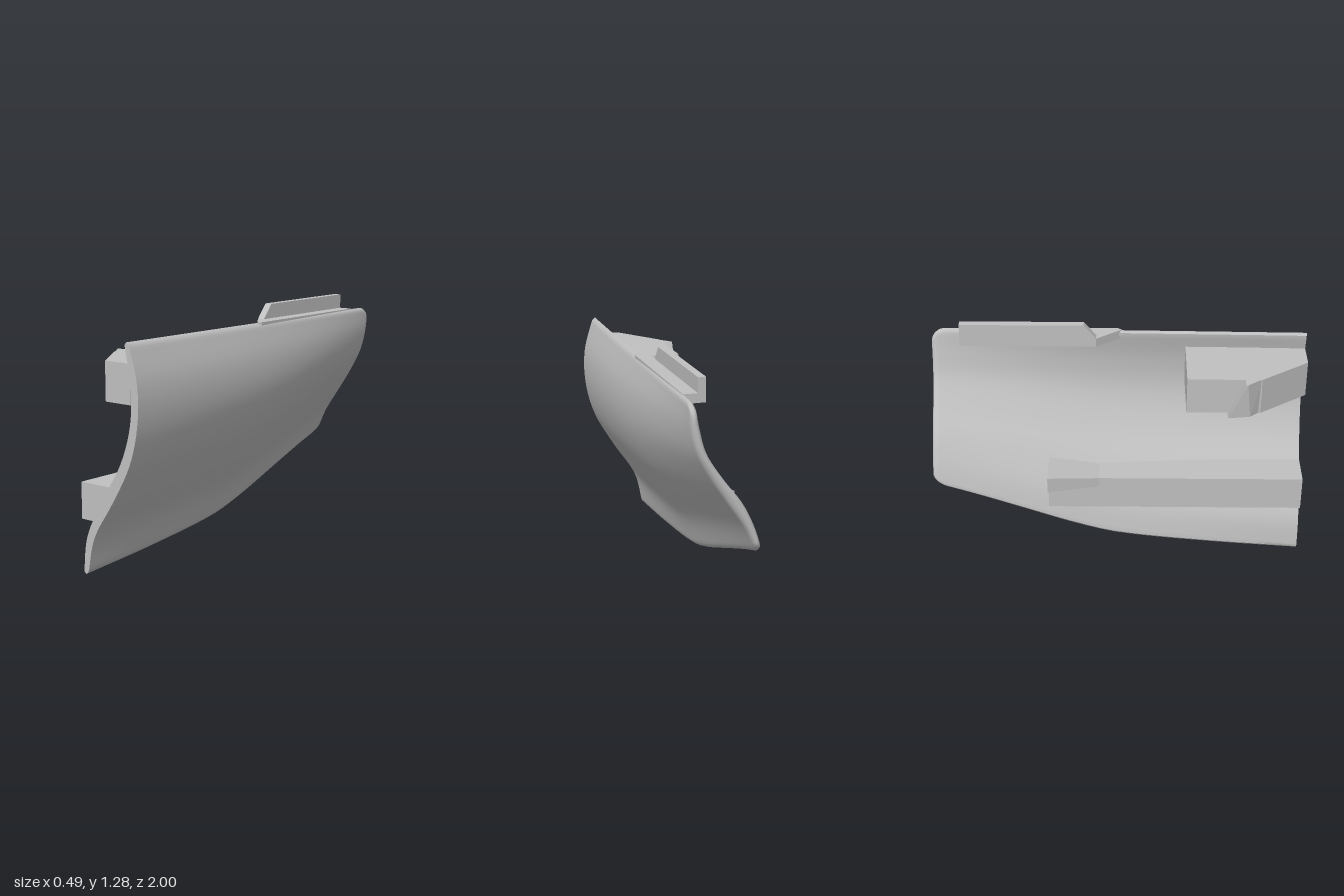
import * as THREE from 'three';
import { toCreasedNormals } from 'three/addons/utils/BufferGeometryUtils.js';
import { ConvexGeometry } from 'three/addons/geometries/ConvexGeometry.js';

const grey = new THREE.MeshStandardMaterial({ color: 0xc0c0c0 });
grey.name = 'light grey';

// Smooth interpolation through [position, value] pairs sorted by position
function curve(pairs) {
  return (p) => {
    let i = 0;
    while (i < pairs.length - 2 && p > pairs[i + 1][0]) i++;
    const at = (k) => pairs[Math.min(Math.max(k, 0), pairs.length - 1)];
    const slope = (k) => (at(k + 1)[1] - at(k - 1)[1]) / (at(k + 1)[0] - at(k - 1)[0]);
    const [p0, v0] = at(i), [p1, v1] = at(i + 1), d = p1 - p0;
    const u = THREE.MathUtils.clamp((p - p0) / d, 0, 1), u2 = u * u, u3 = u2 * u;
    return (2 * u3 - 3 * u2 + 1) * v0 + (u3 - 2 * u2 + u) * d * slope(i)
      + (3 * u2 - 2 * u3) * v1 + (u3 - u2) * d * slope(i + 1);
  };
}
const even = (values) => curve(values.map((v, i) => [i / (values.length - 1), v]));

// Panel profiles: x of the outer skin at each end, and the wall thickness, from bottom to top
const frontOuter = even([-0.135, -0.085, 0.045, 0.16, 0.215, 0.218, 0.165]);
const backOuter = even([-0.145, -0.085, 0, 0.085, 0.155, 0.19, 0.2]);
const wall = even([0.03, 0.05, 0.072, 0.06, 0.047, 0.043, 0.028]);
const lowerEdge = curve([[-1, 0.43], [-0.9, 0.4], [-0.75, 0.35], [-0.5, 0.26],
  [-0.25, 0.17], [0, 0.1], [0.5, 0.04], [1, 0]]);
const TOP = 1.2;

function skin(y, z) {
  const yb = lowerEdge(z), s = (1 - z) / 2;
  const t = THREE.MathUtils.clamp((y - yb) / (TOP - yb), 0, 1);
  const bulge = 0.038 * 4 * s * (1 - s) * Math.sin(Math.PI * Math.pow(t, 1.3));
  const outer = THREE.MathUtils.lerp(frontOuter(t), backOuter(t), s) + bulge;
  return { outer, inner: outer - wall(t) };
}

// Quarter-round easing over a distance r from an edge
const round = (d, r) => {
  const k = 1 - Math.min(Math.max(d / r, 0), 1);
  return Math.sqrt(1 - k * k);
};

function panelGeometry() {
  const rows = 40, stations = [];
  for (let i = 0; i <= 24; i++) stations.push(1 - (i / 24) * 1.88);
  for (let i = 1; i <= 10; i++) stations.push(-1 + 0.12 * (1 - Math.sin((i / 10) * Math.PI / 2)));
  const pos = [], index = [], ring = 2 * (rows + 1);
  for (const z of stations) {
    const corner = 0.08 * (1 - round(z + 1, 0.08));
    const yb = lowerEdge(z) + 0.6 * corner, yt = TOP - corner;
    const outer = [], inner = [];
    for (let k = 0; k <= rows; k++) {
      const u = k / rows;
      const v = 0.4 * u + 0.6 * (1 - Math.cos(Math.PI * u)) / 2;
      const y = yb + (yt - yb) * v, s = skin(y, z);
      const f = Math.max(0.03, round(y - yb, 0.025) * round(yt - y, 0.025) * round(z + 1, 0.03));
      const half = (s.outer - s.inner) * f / 2, mid = (s.outer + s.inner) / 2;
      outer.push([mid + half, y, z]);
      inner.unshift([mid - half, y, z]);
    }
    pos.push(...outer.flat(), ...inner.flat());
  }
  const last = (stations.length - 1) * ring;
  for (let j = 0; j < stations.length - 1; j++) {
    for (let k = 0; k < ring; k++) {
      const a = j * ring + k, b = j * ring + (k + 1) % ring;
      index.push(a, a + ring, b, b, a + ring, b + ring);
    }
  }
  // End caps
  for (let k = 0; k < rows; k++) {
    const o = k, o2 = k + 1, i = ring - 1 - k, i2 = ring - 2 - k;
    index.push(o, o2, i, o2, i2, i);
    index.push(last + o, last + i, last + o2, last + o2, last + i, last + i2);
  }
  const g = new THREE.BufferGeometry();
  g.setAttribute('position', new THREE.Float32BufferAttribute(pos, 3));
  g.setIndex(index);
  return toCreasedNormals(g, 0.7);
}

// Upright prism from a plan outline of [x, z] points
function slab(plan, y0, y1) {
  const shape = new THREE.Shape(plan.map(([x, z]) => new THREE.Vector2(x, -z)));
  const g = new THREE.ExtrudeGeometry(shape, { depth: y1 - y0, bevelEnabled: false });
  return g.rotateX(-Math.PI / 2).translate(0, y0, 0);
}
const hull = (points) => new ConvexGeometry(points.map((p) => new THREE.Vector3(...p)));

export function createModel() {
  const model = new THREE.Group();
  model.name = 'curvedPanel';
  const add = (name, geometry) => {
    const mesh = new THREE.Mesh(geometry, grey);
    mesh.name = name;
    model.add(mesh);
  };
  const embed = (y, z) => skin(y, z).inner + 0.015;

  add('panelShell', panelGeometry());

  // Upper bracket with a slanted front and a small leaning hook
  add('upperBracket', slab([[0.01, 1], [0.175, 1], [0.2, 0.36], [-0.17, 0.36], [-0.17, 0.747]], 0.9, 1.1));
  add('bracketHook', hull([
    [-0.225, 0.9, 0.575], [-0.165, 0.9, 0.575], [-0.165, 0.9, 0.74], [-0.21, 0.9, 0.69],
    [-0.225, 1.1, 0.66], [-0.165, 1.1, 0.66], [-0.165, 1.1, 0.747], [-0.225, 1.1, 0.67],
  ]));

  // Long lower shelf following the inside of the shell
  const shelf = [];
  for (const z of [1, 0.36, 0, -0.375]) {
    for (const y of [0.285, 0.475]) shelf.push([-0.17, y, z], [embed(y, z), y, z]);
  }
  add('lowerShelf', hull(shelf));

  // Flared tab at the rear of the shelf
  const tab = [];
  for (const [x, y0, y1, z] of [[-0.17, 0.42, 0.475, -0.1], [-0.25, 0.435, 0.525, -0.375]]) {
    for (const y of [y0, y1]) tab.push([x, y, z], [embed(y, z), y, z]);
  }
  add('shelfTab', hull(tab));

  // Top rail: flat ledge and upright fin with a sloped front
  add('railLedge', slab([[0.07, -0.835], [0.185, -0.835], [0.185, 0], [0.17, 0.02], [0.07, -0.115]], 1.155, 1.203));
  const fin = [];
  for (const x of [0.07, 0.11]) {
    fin.push([x, 1.16, -0.115], [x, 1.203, -0.115], [x, 1.28, -0.18], [x, 1.28, -0.835], [x, 1.16, -0.835]);
  }
  add('railFin', hull(fin));

  return model;
}
